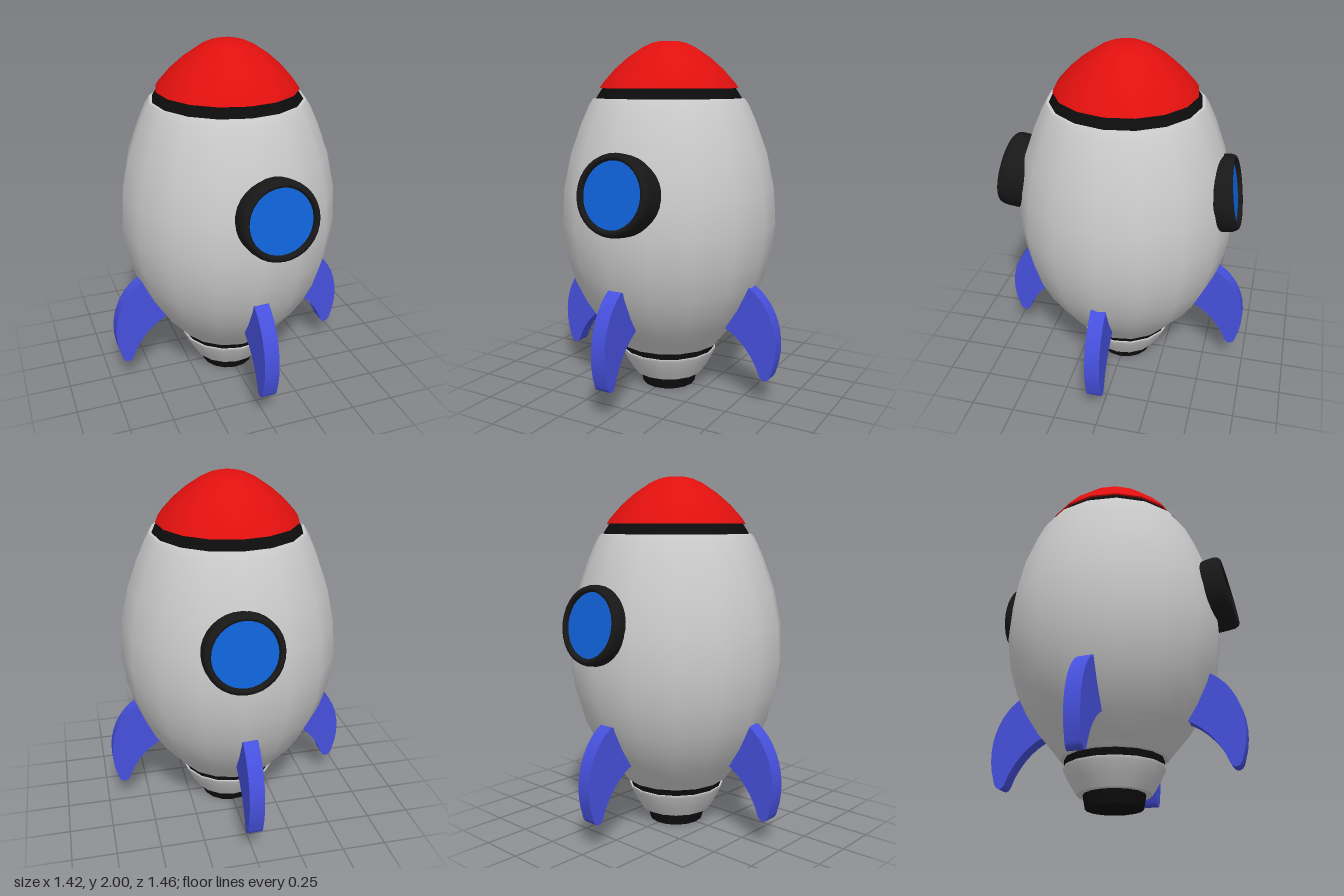
import * as THREE from 'three';
import { toCreasedNormals } from 'three/addons/utils/BufferGeometryUtils.js';

const mat = (color) => new THREE.MeshStandardMaterial({ color });
const SIDES = 16;
const PHASE = -0.05; // slight twist of the faceted hull

function lathe(name, points, material, segments = SIDES, phase = PHASE) {
  const profile = points.map(([r, y]) => new THREE.Vector2(r, y));
  const mesh = new THREE.Mesh(new THREE.LatheGeometry(profile, segments, phase), material);
  mesh.name = name;
  return mesh;
}

export function createModel() {
  const hull = mat(0xcccccc);
  const black = mat(0x0c0c0c);
  const rubber = mat(0x181818);
  const red = mat(0xe0100e);
  const blue = mat(0x0f62d8);
  const finBlue = mat(0x4650dc);
  const rocket = new THREE.Group();
  rocket.name = 'rocket';

  // Hull, nose and engine, stacked from the ground up
  rocket.add(
    lathe('nozzle', [[0.157, 0], [0.172, 0.085]], black),
    lathe('nozzleBase', [[0, 0], [0.157, 0]], black),
    lathe('skirtBottom', [[0.15, 0.075], [0.205, 0.075]], hull),
    lathe('skirt', [[0.205, 0.075], [0.245, 0.14], [0.278, 0.205], [0.28, 0.22]], hull),
    lathe('skirtTop', [[0.28, 0.22], [0.24, 0.22]], hull),
    lathe('lowerBand', [[0.27, 0.215], [0.275, 0.265]], black),
    lathe('bodyBottom', [[0.24, 0.262], [0.297, 0.262]], hull),
    lathe('body', [
      [0.297, 0.262], [0.335, 0.31], [0.42, 0.41], [0.49, 0.52], [0.55, 0.645], [0.595, 0.8],
      [0.618, 0.98], [0.605, 1.18], [0.562, 1.38], [0.5, 1.55], [0.455, 1.65], [0.432, 1.685],
    ], hull),
    lathe('bodyTop', [[0.432, 1.685], [0.38, 1.69]], hull),
    lathe('upperBand', [[0.42, 1.68], [0.378, 1.745]], black),
    lathe('noseBottom', [[0.34, 1.742], [0.395, 1.742]], red),
    lathe('noseCone', [
      [0.395, 1.742], [0.375, 1.772], [0.31, 1.845], [0.235, 1.91], [0.15, 1.967],
      [0.1, 1.99], [0.06, 2], [0, 2],
    ], red),
  );

  // Portholes front and back, tilted slightly upward
  for (const [name, z, turn] of [['front', 0.685, 0], ['back', -0.64, Math.PI]]) {
    const porthole = new THREE.Group();
    porthole.name = name + 'Porthole';
    const rim = lathe('rim', [
      [0.208, -0.22], [0.216, -0.06], [0.215, -0.03], [0.208, -0.01], [0.196, 0],
      [0.186, 0], [0.178, -0.008], [0.174, -0.05],
    ], rubber, 32, 0);
    rim.geometry.rotateX(Math.PI / 2);
    const glass = new THREE.Mesh(new THREE.CircleGeometry(0.178, 32), blue);
    glass.name = 'glass';
    glass.position.z = -0.025;
    porthole.add(rim, glass);
    porthole.rotation.set(-0.17, turn, 0, 'YXZ');
    porthole.position.set(0.05, 1.22, z);
    rocket.add(porthole);
  }

  // Curved fin outline, root hidden inside the hull
  const outline = new THREE.Shape();
  outline.moveTo(0.4, 0.6);
  outline.lineTo(0.545, 0.66);
  outline.bezierCurveTo(0.68, 0.58, 0.755, 0.38, 0.685, 0.18);
  outline.bezierCurveTo(0.675, 0.135, 0.635, 0.125, 0.617, 0.165);
  outline.bezierCurveTo(0.58, 0.27, 0.5, 0.36, 0.41, 0.405);
  outline.lineTo(0.34, 0.42);
  outline.closePath();
  const thickness = 0.085;
  const finGeometry = toCreasedNormals(
    new THREE.ExtrudeGeometry(outline, { depth: thickness, bevelEnabled: false, curveSegments: 10 })
      .translate(0, 0, -thickness / 2), 0.6);

  // name, turn, outward shift, x, y, z
  const fins = [
    ['leftFin', 0, 0, 0, 0, 0.028],
    ['rightFin', Math.PI, 0, 0, 0, 0.024],
    ['frontFin', -Math.PI / 2, 0, -0.006, 0.025, 0.018],
    ['backFin', Math.PI / 2, 0, 0.002, 0.01, -0.015],
  ];
  for (const [name, turn, , x, y, z] of fins) {
    const fin = new THREE.Mesh(finGeometry, finBlue);
    fin.name = name;
    fin.rotation.y = turn;
    fin.position.set(x, y, z);
    rocket.add(fin);
  }
  return rocket;
}
